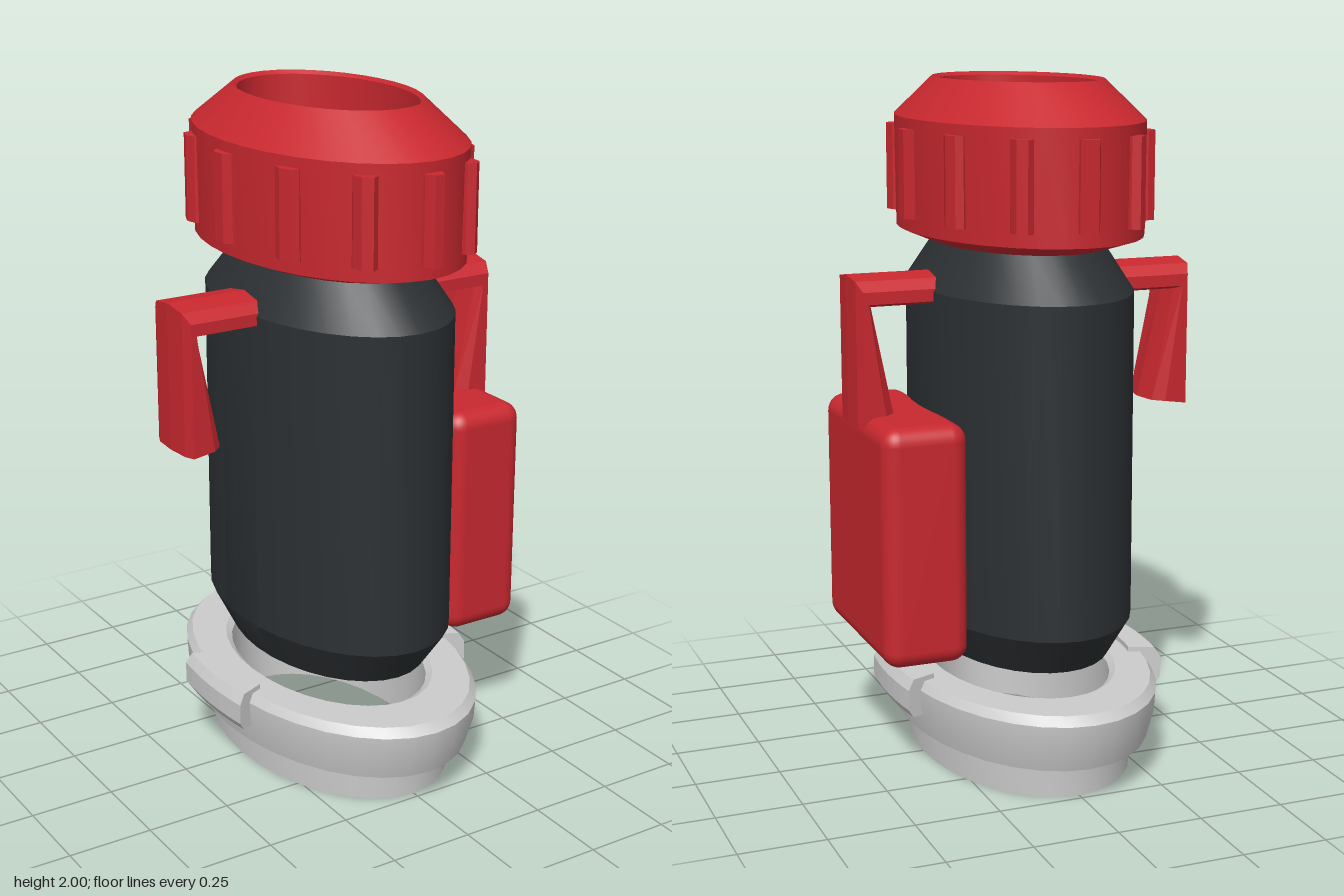
import * as THREE from 'three';
import { toCreasedNormals } from 'three/addons/utils/BufferGeometryUtils.js';
import { RoundedBoxGeometry } from 'three/addons/geometries/RoundedBoxGeometry.js';

const OVAL = 0.635; // width of every oval section relative to its depth

const red = new THREE.MeshStandardMaterial({ color: 0xc8282f });
const redFlat = new THREE.MeshStandardMaterial({ color: 0xc8282f, flatShading: true });
const dark = new THREE.MeshStandardMaterial({ color: 0x2c3033 });
const grey = new THREE.MeshStandardMaterial({ color: 0xcccccc });
const greyFlat = new THREE.MeshStandardMaterial({ color: 0xcccccc, flatShading: true });

function named(name, geometry, material) {
  const mesh = new THREE.Mesh(geometry, material);
  mesh.name = name;
  return mesh;
}

// Closed [radius, y] profile turned into an oval ring
function ovalRing(profile) {
  const points = [...profile, profile[0]].map(([r, y]) => new THREE.Vector2(r, y));
  const geometry = new THREE.LatheGeometry(points, 32);
  geometry.scale(OVAL, 1, 1);
  return toCreasedNormals(geometry, 0.45);
}

// Outline in x, y extruded along z from -half to half, then reshaped by a rule
function shapedExtrude(outline, half, steps, rule) {
  const shape = new THREE.Shape(outline.map(([x, y]) => new THREE.Vector2(x, y)));
  const geometry = new THREE.ExtrudeGeometry(shape, { depth: 2 * half, steps, bevelEnabled: false });
  geometry.translate(0, 0, -half);
  const pos = geometry.attributes.position;
  const v = new THREE.Vector3();
  for (let i = 0; i < pos.count; i++) {
    rule(v.fromBufferAttribute(pos, i));
    pos.setXYZ(i, v.x, v.y, v.z);
  }
  geometry.computeVertexNormals();
  return geometry;
}

function makeCap() {
  const cap = new THREE.Group();
  cap.name = 'cap';
  cap.add(named('capRing', ovalRing([
    [0.34, 1.53], [0.38, 1.535], [0.515, 1.57], [0.52, 1.89], [0.355, 2], [0.34, 1.99],
  ]), red));
  // Twelve grip ribs, squeezed to the oval like the cap itself
  const rib = new THREE.Shape([[-0.045, 0.48], [0.045, 0.48], [0.045, 0.525], [0.022, 0.553], [-0.022, 0.553], [-0.045, 0.525]]
    .map(([x, y]) => new THREE.Vector2(x, y)));
  for (let i = 0; i < 12; i++) {
    const geometry = new THREE.ExtrudeGeometry(rib, { depth: 0.25, bevelEnabled: false });
    geometry.rotateX(-Math.PI / 2);
    geometry.translate(0, 1.61, 0);
    geometry.rotateY((i * Math.PI) / 6);
    geometry.scale(OVAL, 1, 1);
    geometry.computeVertexNormals();
    cap.add(named('gripRib', geometry, redFlat));
  }
  return cap;
}

// Crossbar with a widening leg at each end, its long edges chamfered
function makeHandle() {
  const outline = [
    [-0.52, 1.03], [-0.39, 1.04], [-0.465, 1.37], [0.465, 1.37],
    [0.39, 1.04], [0.52, 1.03], [0.52, 1.46], [-0.52, 1.46],
  ];
  const geometry = shapedExtrude(outline, 0.105, 4, (v) => {
    const step = Math.round(v.z / 0.0525);
    const inset = [0, 0.3, 1][Math.abs(step)];
    v.z = Math.sign(step) * [0, 0.075, 0.105][Math.abs(step)];
    const outer = Math.abs(v.x) > 0.5;
    v.x += Math.sign(v.x) * inset * (outer ? -0.018 : v.y < 1.2 ? 0.045 : 0.02);
    if (v.y > 1.4) v.y -= 0.04 * inset;
    else if (v.y > 1.3) v.y += 0.015 * inset;
  });
  return named('handle', geometry, redFlat);
}

function makeBase() {
  const base = new THREE.Group();
  base.name = 'base';
  base.add(named('baseRing', ovalRing([
    [0.395, 0], [0.48, 0], [0.485, 0.085], [0.555, 0.108], [0.585, 0.195],
    [0.59, 0.25], [0.565, 0.275], [0.42, 0.275], [0.395, 0.26],
  ]), grey));
  // Hooked clips over the rim on both sides, bent along the oval
  const hook = [
    [0.325, 0.24], [0.36, 0.175], [0.4, 0.175], [0.415, 0.2], [0.415, 0.26], [0.397, 0.29], [0.325, 0.29],
  ];
  for (const side of [0, 1]) {
    const geometry = shapedExtrude(hook, 0.16, 6, (v) => {
      const bend = 0.012 * (v.z / 0.16) ** 2;
      v.z *= 1 + (v.x - 0.4) * 2.7;
      v.x -= bend;
    });
    const clip = named(side ? 'rightClip' : 'leftClip', geometry, greyFlat);
    clip.rotation.y = side * Math.PI;
    base.add(clip);
  }
  return base;
}

export function createModel() {
  const model = new THREE.Group();
  model.name = 'canister';

  // Hollow oval body
  model.add(named('body', ovalRing([
    [0.37, 0.34], [0.39, 0.34], [0.48, 0.46], [0.478, 1.41], [0.355, 1.54],
    [0.34, 1.54], [0.46, 1.4], [0.46, 0.47],
  ]), dark));

  // Rounded box on the left side
  const sideBox = named('sideBox', new RoundedBoxGeometry(0.25, 0.695, 0.59, 4, 0.05), red);
  sideBox.position.set(0.382, 0.7175, -0.003);

  model.add(makeCap(), makeHandle(), sideBox, makeBase());
  return model;
}
